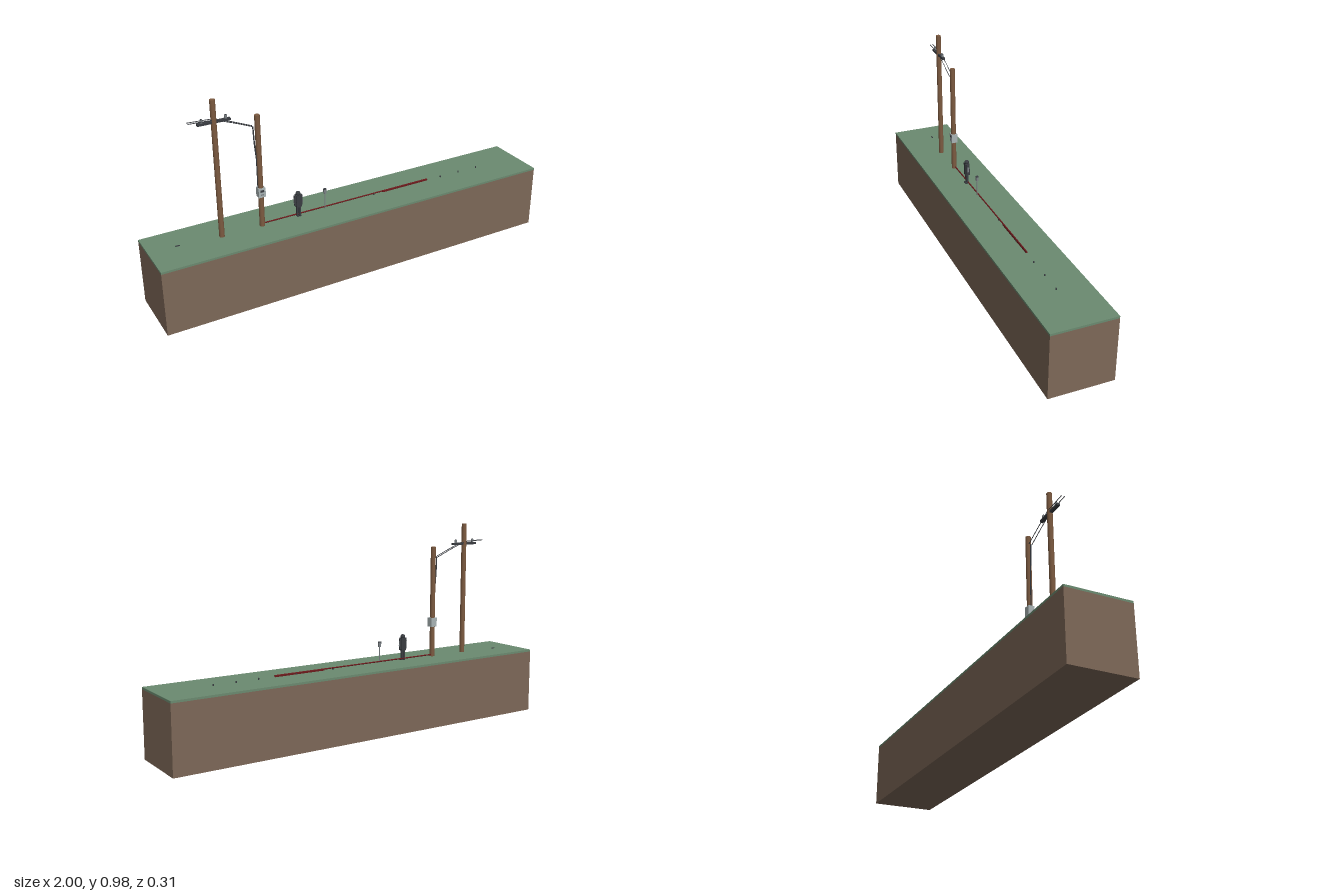
import * as THREE from 'three';

export function createModel() {
  const root = new THREE.Group();
  const mat = (name, color) => {
    const m = new THREE.MeshStandardMaterial({ color });
    m.name = name;
    return m;
  };
  const soil = mat('soil', 0x7d6858);
  const grass = mat('grass', 0x6b8a70);
  const wood = mat('wood', 0x7d5b41);
  const dark = mat('charcoal', 0x3a3d42);
  const steel = mat('steel', 0x7c8286);
  const pale = mat('paleGrey', 0xa9b4b5);
  const red = mat('cableRed', 0x6b1a1c);
  const GROUND = 0.322;

  const add = (name, geo, material, x, y, z, parent = root) => {
    const m = new THREE.Mesh(geo, material);
    m.name = name;
    m.position.set(x, y, z);
    parent.add(m);
    return m;
  };
  const box = (name, material, w, h, d, x, y, z, parent) =>
    add(name, new THREE.BoxGeometry(w, h, d), material, x, y, z, parent);
  const cyl = (name, material, r, h, x, y, z, parent, rTop = r) =>
    add(name, new THREE.CylinderGeometry(rTop, r, h, 12), material, x, y, z, parent);
  // Straight-sided wire through a list of points
  const wire = (name, material, r, points) => {
    const path = new THREE.CurvePath();
    const v = points.map((p) => new THREE.Vector3(...p));
    for (let i = 1; i < v.length; i++) path.add(new THREE.LineCurve3(v[i - 1], v[i]));
    add(name, new THREE.TubeGeometry(path, 40, r, 6), material, 0, 0, 0);
  };

  // Ground block
  box('soilBlock', soil, 2, 0.312, 0.308, 0, 0.156, 0);
  box('grassLayer', grass, 2, 0.01, 0.308, 0, 0.317, 0);

  // Utility poles
  cyl('mainPole', wood, 0.0125, 0.98 - GROUND, -0.663, (0.98 + GROUND) / 2, 0);
  cyl('meterPole', wood, 0.0125, 0.87 - GROUND, -0.465, (0.87 + GROUND) / 2, 0);

  // Crossarm with insulators
  const arm = new THREE.Group();
  arm.name = 'crossarm';
  root.add(arm);
  box('crossarmBeam', dark, 0.15, 0.011, 0.014, -0.663, 0.879, 0, arm);
  for (const s of [-1, 1]) {
    cyl('insulator', steel, 0.006, 0.016, -0.663 + s * 0.055, 0.891, 0, arm);
    cyl('insulatorCap', dark, 0.004, 0.004, -0.663 + s * 0.055, 0.9, 0, arm);
  }

  // Overhead lines and service drop
  for (const z of [-0.009, 0.006]) {
    wire('overheadWire', dark, 0.0018, [
      [-0.78, 0.894, z], [-0.66, 0.889, z], [-0.57, 0.855, z], [-0.487, 0.82, z]]);
  }
  wire('dropWire', dark, 0.003, [
    [-0.487, 0.82, 0], [-0.484, 0.74, 0], [-0.477, 0.66, 0], [-0.477, 0.515, 0]]);

  // Meter box with front details
  const meter = new THREE.Group();
  meter.name = 'meterBox';
  root.add(meter);
  box('meterCase', pale, 0.034, 0.045, 0.03, -0.464, 0.495, 0, meter);
  box('meterWindow', dark, 0.018, 0.01, 0.002, -0.464, 0.504, 0.0155, meter);
  box('meterLabel', steel, 0.016, 0.006, 0.002, -0.464, 0.486, 0.0155, meter);

  // Standing figure
  const person = new THREE.Group();
  person.name = 'figure';
  person.position.set(-0.28, GROUND, 0);
  root.add(person);
  box('torso', dark, 0.026, 0.062, 0.022, 0, 0.08, 0, person);
  add('head', new THREE.SphereGeometry(0.0115, 14, 10), dark, 0, 0.117, 0, person);
  for (const s of [-1, 1]) {
    box('leg', dark, 0.008, 0.052, 0.01, s * 0.006, 0.026, 0, person);
    box('arm', dark, 0.007, 0.052, 0.011, s * 0.0165, 0.082, 0, person);
    box('boot', dark, 0.009, 0.006, 0.016, s * 0.006, 0.003, 0.003, person);
    // Side patch on the coat
    box('armPatch', steel, 0.002, 0.026, 0.008, s * 0.0205, 0.083, 0, person);
  }

  // Marker post
  cyl('markerPost', steel, 0.0028, 0.085, -0.14, GROUND + 0.0425, 0);
  box('markerHead', steel, 0.012, 0.022, 0.01, -0.14, 0.413, 0);
  box('markerCap', dark, 0.013, 0.003, 0.011, -0.14, 0.425, 0);

  // Cable laid along the ground
  cyl('cable', red, 0.0032, 0.905, -0.0115, 0.3305, -0.003).rotation.z = Math.PI / 2;
  box('cableSleeve', red, 0.26, 0.007, 0.007, 0.31, 0.3275, -0.003);
  for (const x of [0.13, 0.33]) box('cableClip', dark, 0.005, 0.008, 0.009, x, 0.327, -0.003);

  // Small ground pegs beyond the cable
  for (const x of [0.52, 0.63, 0.74]) {
    cyl('groundPeg', dark, 0.003, 0.008, x, GROUND + 0.004, 0);
  }
  box('groundPlate', dark, 0.02, 0.003, 0.005, -0.865, GROUND + 0.0015, -0.017);

  return root;
}
